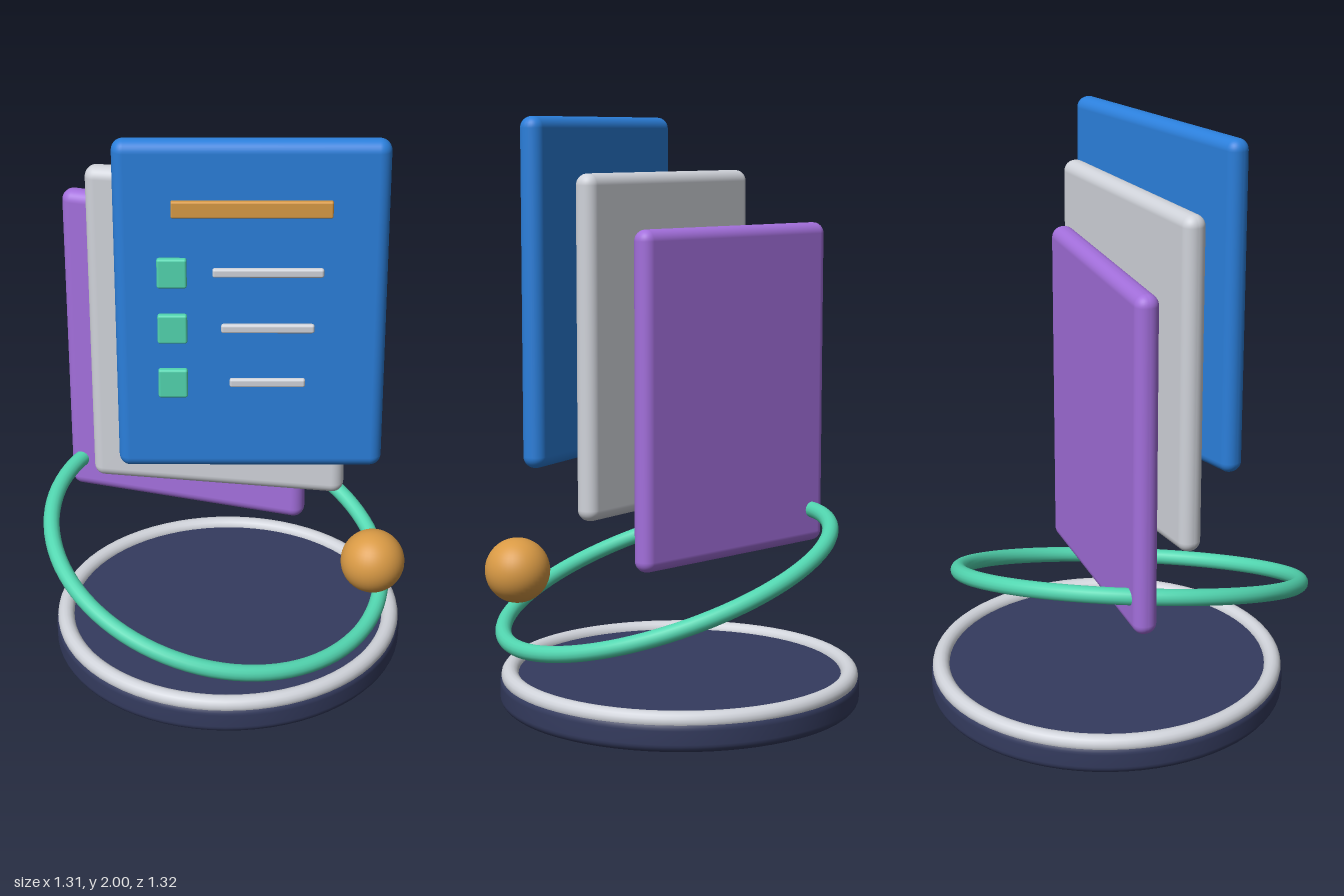
import * as THREE from 'three';
import { RoundedBoxGeometry } from 'three/addons/geometries/RoundedBoxGeometry.js';

const paint = (name, color) => {
  const m = new THREE.MeshStandardMaterial({ color });
  m.name = name;
  return m;
};

export function createModel() {
  const navy = paint('navy', 0x343b5e);
  const silver = paint('silver', 0xd0d3da);
  const teal = paint('teal', 0x52d6b0);
  const amber = paint('amber', 0xd99a45);
  const blue = paint('blue', 0x2b7fdb);
  const purple = paint('purple', 0xa36fdc);

  const model = new THREE.Group();
  model.name = 'floatingCards';

  const add = (parent, name, geometry, material, x, y, z) => {
    const mesh = new THREE.Mesh(geometry, material);
    mesh.name = name;
    mesh.position.set(x, y, z);
    parent.add(mesh);
    return mesh;
  };
  const block = (w, h, d, r) => new RoundedBoxGeometry(w, h, d, 4, r);

  // Round base: lathe profile with rounded top and bottom edges
  const R = 0.62, H = 0.105, bevel = 0.03;
  const profile = [new THREE.Vector2(0, 0)];
  for (const [cy, start] of [[bevel, -Math.PI / 2], [H - bevel, 0]]) {
    for (let i = 0; i <= 6; i++) {
      const a = start + (i / 6) * Math.PI / 2;
      profile.push(new THREE.Vector2(R - bevel + bevel * Math.cos(a), cy + bevel * Math.sin(a)));
    }
  }
  profile.push(new THREE.Vector2(0, H));
  add(model, 'base', new THREE.LatheGeometry(profile, 72), navy, -0.033, 0, -0.041);

  // Trim ring lying on the base rim
  const rim = add(model, 'baseRim', new THREE.TorusGeometry(0.586, 0.03, 16, 72), silver, -0.033, 0.102, -0.041);
  rim.rotation.x = Math.PI / 2;

  // Tilted orbit ring and its ball
  const orbit = add(model, 'orbitRing', new THREE.TorusGeometry(0.596, 0.028, 16, 96), teal, -0.038, 0.423, 0.04);
  orbit.quaternion.setFromUnitVectors(
    new THREE.Vector3(0, 0, 1),
    new THREE.Vector3(0.299, 0.9465, 0.125).normalize()
  );
  add(model, 'orbitBall', new THREE.SphereGeometry(0.108, 40, 28), amber, 0.546, 0.515, 0.103);

  // Three fanned cards, each with a header bar and three checklist rows
  const cards = [
    ['backCard', purple, -0.2125, 1.065, -0.104, 0.057],
    ['middleCard', silver, -0.036, 1.247, 0.044, 0.208],
    ['frontCard', blue, 0.135, 1.43, 0.191, 0.36],
  ];
  for (const [name, material, x, y, z, turn] of cards) {
    const card = new THREE.Group();
    card.name = name;
    card.position.set(x, y, z);
    card.rotation.y = turn;
    model.add(card);
    add(card, 'panel', block(0.868, 1.14, 0.08, 0.038), material, 0, 0, 0);
    add(card, 'headerBar', block(0.505, 0.055, 0.022, 0.006), amber, 0.002, 0.361, 0.062);
    for (let row = 0; row < 3; row++) {
      const rowY = 0.147 - row * 0.193;
      add(card, 'checkBox', block(0.095, 0.1, 0.024, 0.008), teal, -0.25, rowY, 0.064);
      add(card, 'textLine', block(0.352 - row * 0.054, 0.03, 0.02, 0.008), silver, 0.054, rowY, 0.062);
    }
  }
  return model;
}
